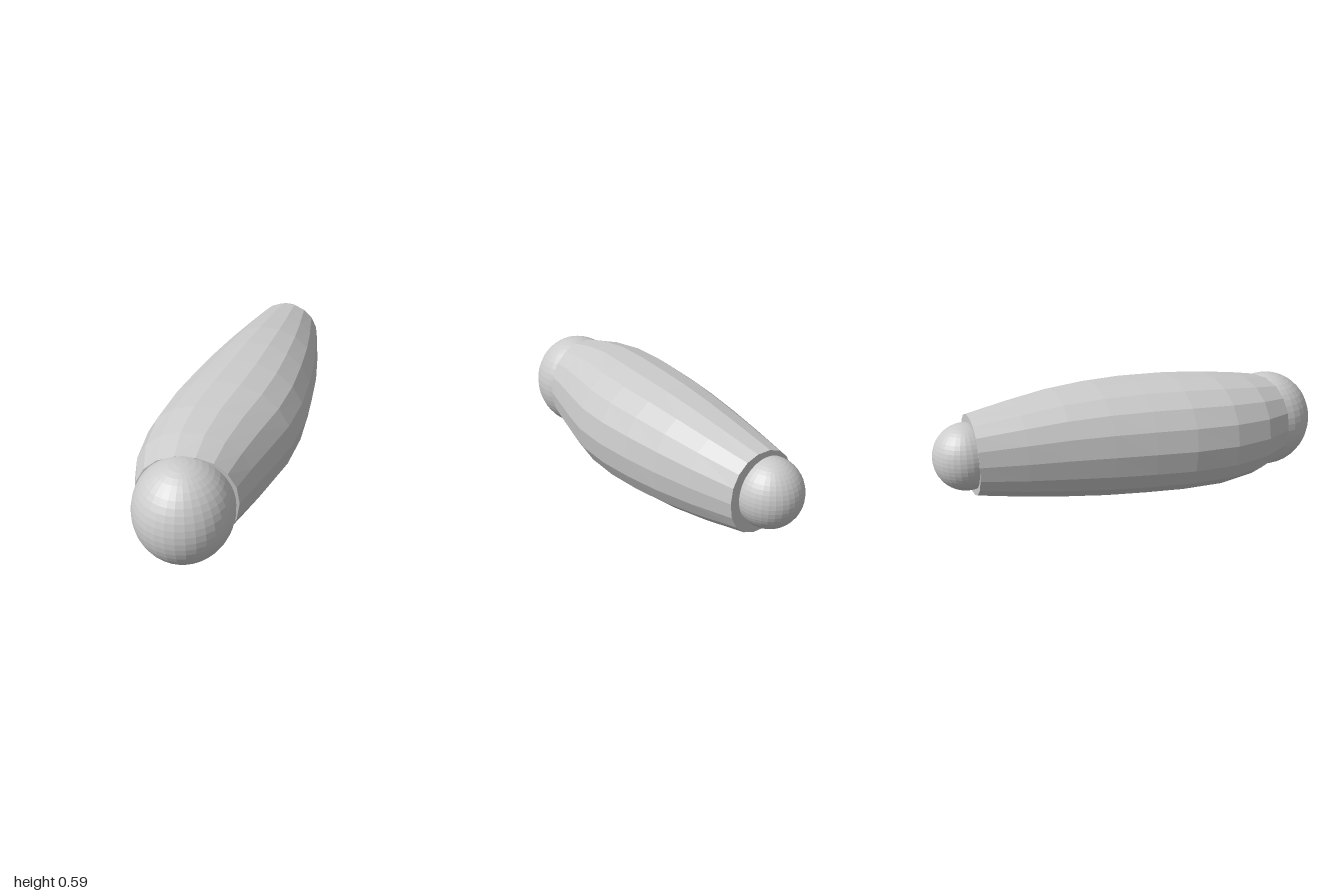
import * as THREE from 'three';

const material = new THREE.MeshStandardMaterial({ color: 0xcccccc, flatShading: true });
const SIDES = 18;

// Limb stations from back to front: z, min x, max x, min y, max y
const STATIONS = [
  [-0.82, -0.14, 0.21, 0.13, 0.52],
  [-0.6, -0.185, 0.262, 0.085, 0.555],
  [-0.4, -0.222, 0.3, 0.052, 0.583],
  [-0.2, -0.26, 0.323, 0.027, 0.598],
  [0, -0.295, 0.334, 0.012, 0.602],
  [0.2, -0.325, 0.32, 0.003, 0.598],
  [0.4, -0.335, 0.278, 0.004, 0.585],
  [0.58, -0.308, 0.236, 0.025, 0.562],
  [0.72, -0.25, 0.205, 0.06, 0.535],
];

// Slightly squared oval rings joined into a closed, curved limb
function limbGeometry() {
  const positions = [];
  const index = [];
  const last = STATIONS.length - 1;
  const bend = (v) => Math.sign(v) * Math.abs(v) ** 0.93;
  STATIONS.forEach(([z, x0, x1, y0, y1], s) => {
    const cx = (x0 + x1) / 2;
    const slant = 0.2 * Math.max(0, (z - 0.2) / 0.52); // front rim is cut at an angle
    for (let i = 0; i < SIDES; i++) {
      const a = (i / SIDES) * Math.PI * 2;
      const x = cx + ((x1 - x0) / 2) * bend(Math.cos(a));
      const y = (y0 + y1) / 2 + ((y1 - y0) / 2) * bend(Math.sin(a));
      positions.push(x, y, z - (x - cx) * slant);
      if (s < last) {
        const p = s * SIDES + i;
        const q = s * SIDES + ((i + 1) % SIDES);
        index.push(p, q, q + SIDES, p, q + SIDES, p + SIDES);
      }
    }
  });
  // End caps
  for (const s of [0, last]) {
    const [z, x0, x1, y0, y1] = STATIONS[s];
    const c = positions.length / 3;
    positions.push((x0 + x1) / 2, (y0 + y1) / 2, z);
    for (let i = 0; i < SIDES; i++) {
      const p = s * SIDES + i;
      const q = s * SIDES + ((i + 1) % SIDES);
      if (s === 0) index.push(c, q, p);
      else index.push(c, p, q);
    }
  }
  const geometry = new THREE.BufferGeometry();
  geometry.setAttribute('position', new THREE.Float32BufferAttribute(positions, 3));
  geometry.setIndex(index);
  geometry.computeVertexNormals();
  return geometry;
}

function addJoint(group, name, center, radii) {
  const joint = new THREE.Mesh(new THREE.SphereGeometry(1, 32, 24), material);
  joint.name = name;
  joint.position.set(...center);
  joint.scale.set(...radii);
  group.add(joint);
}

export function createModel() {
  const group = new THREE.Group();
  group.name = 'limbSegment';

  const limb = new THREE.Mesh(limbGeometry(), material);
  limb.name = 'limb';
  group.add(limb);

  // Ball joints at both ends
  addJoint(group, 'frontJoint', [-0.02, 0.29, 0.765], [0.227, 0.249, 0.235]);
  addJoint(group, 'backJoint', [0.015, 0.33, -0.845], [0.152, 0.161, 0.155]);
  return group;
}
